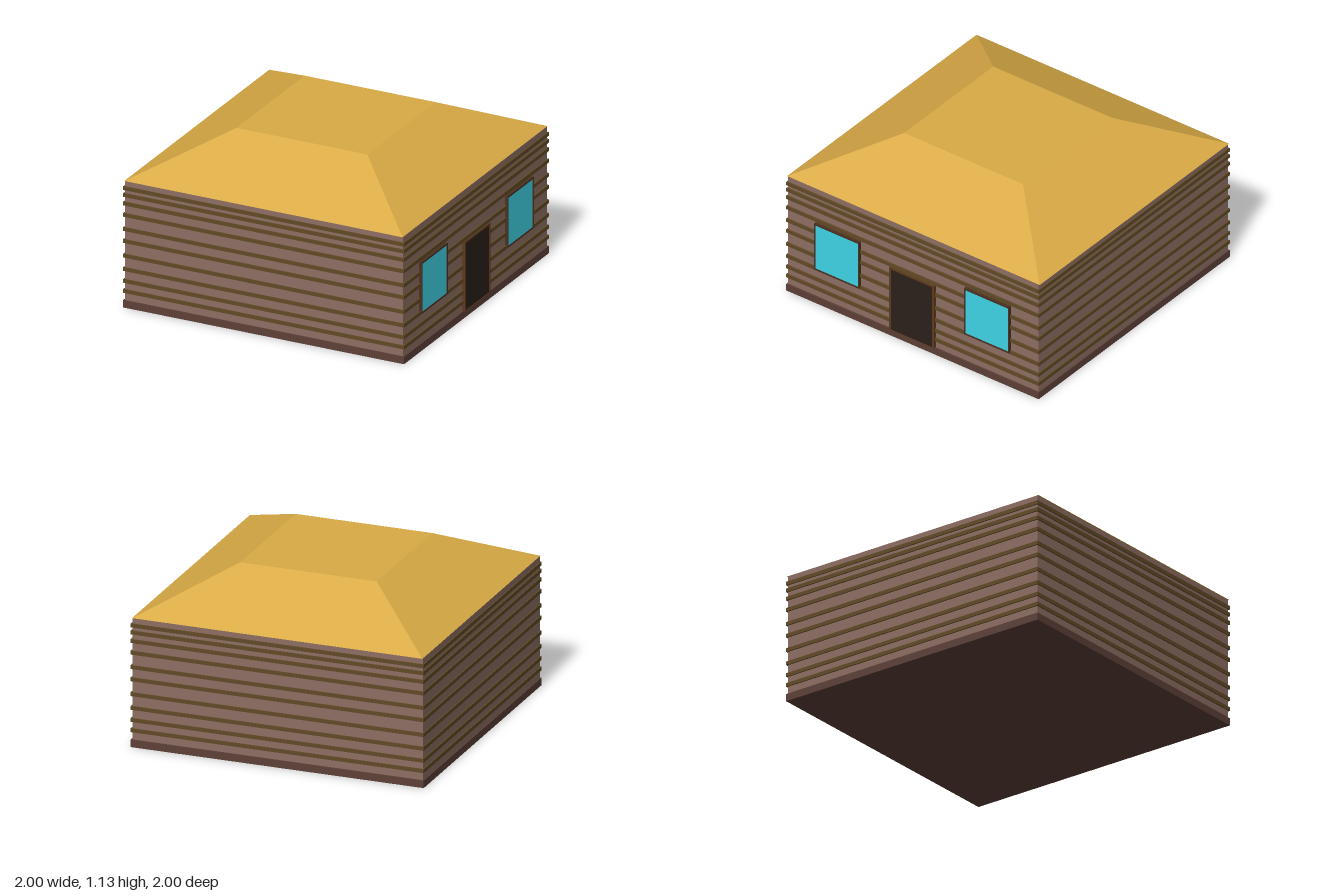
import * as THREE from 'three';

const material = (color) => new THREE.MeshStandardMaterial({ color, flatShading: true });
const wallMat = material(0x8d6e63);
const baseMat = material(0x5d4037);
const battenMat = material(0x614a26);
const roofMat = material(0xd9aa45);
const frameMat = material(0x5f3a1e);
const windowFrameMat = material(0x4a3020);
const doorMat = material(0x2b201a);
const glassMat = material(0x40d6e8);

const CENTER_X = -0.005; // the body sits slightly back from the door side

function box(name, mat, [x0, x1], [y0, y1], [z0, z1]) {
  const mesh = new THREE.Mesh(new THREE.BoxGeometry(x1 - x0, y1 - y0, z1 - z0), mat);
  mesh.position.set((x0 + x1) / 2, (y0 + y1) / 2, (z0 + z1) / 2);
  mesh.name = name;
  return mesh;
}

// A framed panel on the +x wall: the frame is a rectangle with a hole
function opening(name, frameColor, panelMat, zMid, outer, inner) {
  const group = new THREE.Group();
  group.name = name;
  const rect = (target, { w, y0, y1 }) => {
    target.moveTo(-w, y0);
    target.lineTo(w, y0);
    target.lineTo(w, y1);
    target.lineTo(-w, y1);
    target.closePath();
    return target;
  };
  const shape = rect(new THREE.Shape(), outer);
  shape.holes.push(rect(new THREE.Path(), inner));
  const geometry = new THREE.ExtrudeGeometry(shape, { depth: 0.03, bevelEnabled: false });
  geometry.rotateY(Math.PI / 2);
  const frame = new THREE.Mesh(geometry, frameColor);
  frame.name = name + 'Frame';
  frame.position.set(0.97, 0, zMid);
  const panel = box(name + 'Panel', panelMat, [0.97, 0.996],
    [inner.y0, inner.y1], [zMid - inner.w, zMid + inner.w]);
  group.add(frame, panel);
  return group;
}

export function createModel() {
  const house = new THREE.Group();
  house.name = 'cabin';

  // Walls and foundation
  house.add(box('walls', wallMat, [-0.99, 0.98], [0.02, 0.868], [-0.99, 0.99]));
  house.add(box('foundation', baseMat, [-0.998, 0.99], [0, 0.05], [-0.998, 0.998]));

  // Horizontal battens around the walls
  const battenHeights = [0.113, 0.182, 0.263, 0.355, 0.455, 0.537, 0.634, 0.712, 0.77, 0.817];
  battenHeights.forEach((y) => {
    house.add(box('batten', battenMat, [-0.998, 0.99], [y - 0.0125, y + 0.0125], [-0.998, 0.998]));
  });

  // Truncated hipped roof: a four-sided frustum
  const roofGeometry = new THREE.CylinderGeometry(0.47 * Math.SQRT2, Math.SQRT2, 0.264, 4);
  roofGeometry.rotateY(Math.PI / 4);
  roofGeometry.scale(0.985, 1, 0.999);
  const roof = new THREE.Mesh(roofGeometry, roofMat);
  roof.name = 'roof';
  roof.position.set(CENTER_X, 1.0, 0);
  house.add(roof);

  // Door and the two windows beside it
  house.add(opening('door', frameMat, doorMat, 0,
    { w: 0.177, y0: 0.05, y1: 0.525 }, { w: 0.163, y0: 0.052, y1: 0.513 }));
  [-1, 1].forEach((side) => {
    house.add(opening('window', windowFrameMat, glassMat, side * 0.593,
      { w: 0.178, y0: 0.26, y1: 0.612 }, { w: 0.17, y0: 0.27, y1: 0.6 }));
  });

  return house;
}
